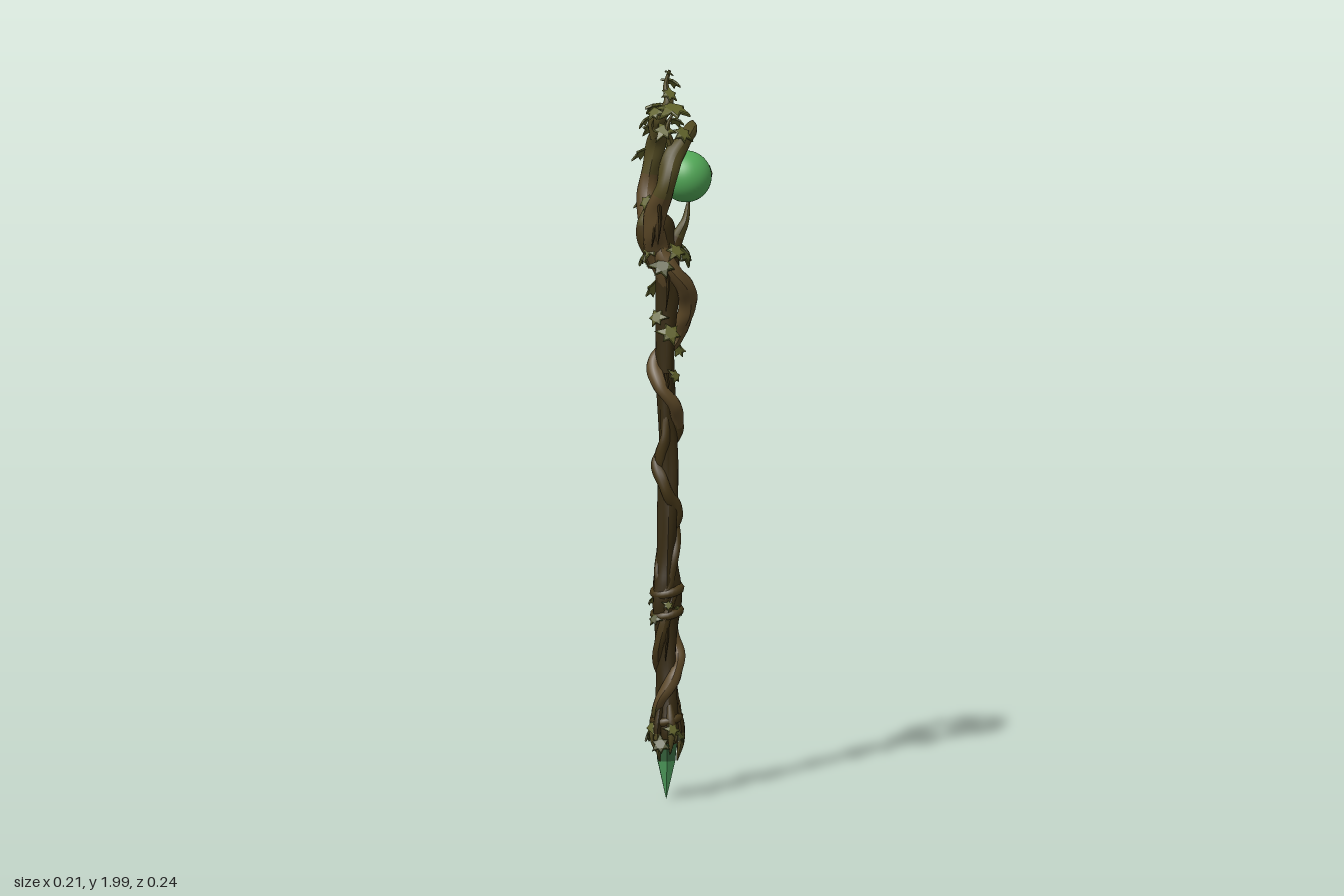
import * as THREE from 'three';

const mat = (name, color, extra = {}) => {
  const m = new THREE.MeshStandardMaterial({ color, ...extra });
  m.name = name;
  return m;
};

export function createModel() {
  const staff = new THREE.Group();
  staff.name = 'gnarledStaff';
  const bark = mat('bark', 0x5c4827);
  const midBark = mat('midBark', 0x463718);
  const darkBark = mat('darkBark', 0x372b12);
  const moss = mat('mossyBark', 0x524a22);
  const leafGreen = mat('leafGreen', 0x5f612a, { side: THREE.DoubleSide });
  const darkLeaf = mat('darkLeaf', 0x484c20, { side: THREE.DoubleSide });
  const orbGreen = mat('orbGreen', 0x52a857);
  const crystalGreen = mat('crystalGreen', 0x50a05e, { flatShading: true });
  const crystalDark = mat('crystalDark', 0x34603a, { flatShading: true });
  const AX = -0.015; // staff axis

  const add = (name, geo, material) => {
    const m = new THREE.Mesh(geo, material);
    m.name = name;
    staff.add(m);
    return m;
  };

  // Tapering branch: radii are spread evenly along the path, mossy beyond the given fraction
  const branch = (name, pts, radii, material, seg = 48, sides = 9, mossFrom = 1) => {
    const curve = new THREE.CatmullRomCurve3(pts.map(p => new THREE.Vector3(...p)));
    const geo = new THREE.TubeGeometry(curve, seg, 1, sides);
    const pos = geo.attributes.position, v = new THREE.Vector3();
    for (let i = 0; i <= seg; i++) {
      const c = curve.getPointAt(i / seg), f = (i / seg) * (radii.length - 1);
      const k = Math.min(Math.floor(f), radii.length - 2);
      const r = THREE.MathUtils.lerp(radii[k], radii[k + 1], f - k);
      for (let j = 0; j <= sides; j++) {
        const n = i * (sides + 1) + j;
        v.fromBufferAttribute(pos, n).sub(c);
        v.multiplyScalar(r * (1 + 0.1 * Math.sin(j * 4 * Math.PI / sides + i * 0.35))).add(c);
        pos.setXYZ(n, v.x, v.y, v.z);
      }
    }
    geo.computeVertexNormals();
    const plain = Math.round(seg * mossFrom) * sides * 6;
    geo.addGroup(0, plain, 0);
    geo.addGroup(plain, geo.index.count - plain, 1);
    return add(name, geo, [material, moss]);
  };

  // Core shaft: lathe with twisting grooves
  const profile = [[0.001, 0.14], [0.026, 0.15], [0.036, 0.19], [0.032, 0.25], [0.026, 0.36], [0.031, 0.47],
    [0.038, 0.53], [0.036, 0.59], [0.027, 0.68], [0.026, 0.9], [0.024, 1.1], [0.027, 1.3], [0.034, 1.45],
    [0.042, 1.53], [0.036, 1.58], [0.001, 1.61]];
  const smooth = new THREE.SplineCurve(profile.map(p => new THREE.Vector2(...p))).getPoints(110);
  const core = new THREE.LatheGeometry(smooth.map(p => new THREE.Vector2(Math.max(p.x, 0.001), p.y)), 20);
  const cp = core.attributes.position;
  for (let i = 0; i < cp.count; i++) {
    const x = cp.getX(i), y = cp.getY(i), z = cp.getZ(i), a = Math.atan2(z, x);
    const g = 1 + 0.11 * Math.sin(3 * a + 14 * y) + 0.05 * Math.sin(5 * a - 9 * y);
    const lean = -0.025 * THREE.MathUtils.smoothstep(y, 1.4, 1.58);
    cp.setXYZ(i, AX + lean + x * g + 0.004 * Math.sin(9 * y), y, z * g + 0.004 * Math.cos(9 * y));
  }
  core.computeVertexNormals();
  add('coreShaft', core, darkBark);

  // Vines spiralling round the shaft
  branch('upperVine', [[-0.05, 1.56, 0.02], [-0.02, 1.47, 0.045], [0.033, 1.4, 0.025], [0.038, 1.33, -0.015],
    [0.005, 1.25, -0.045], [-0.046, 1.19, -0.012], [-0.035, 1.13, 0.032], [0.003, 1.08, 0.032], [0.014, 1.02, -0.005]],
  [0.012, 0.025, 0.025, 0.024, 0.023, 0.021, 0.018, 0.016], bark, 100, 10);
  branch('middleVine', [[0.014, 1.03, 0], [0.012, 1.0, -0.012], [-0.01, 0.96, -0.026], [-0.041, 0.92, 0],
    [-0.02, 0.85, 0.024], [0.01, 0.78, 0], [-0.015, 0.7, -0.022], [-0.036, 0.62, 0.008], [-0.015, 0.55, 0.03]],
  [0.016, 0.016, 0.018, 0.017, 0.014], midBark, 90, 10);
  branch('middleVine', [[-0.03, 1.12, -0.015], [-0.02, 1.0, 0.02], [-0.035, 0.93, 0.01], [-0.018, 0.86, -0.022],
    [0.004, 0.75, -0.014], [0.002, 0.66, 0.014], [-0.025, 0.56, 0.03]], [0.005, 0.014, 0.016, 0.016, 0.014], midBark, 80);
  branch('lowerVine', [[-0.04, 0.58, -0.018], [-0.01, 0.52, -0.036], [0.004, 0.44, -0.036], [0.016, 0.38, -0.012],
    [0, 0.33, 0.024], [-0.035, 0.27, 0.018], [-0.038, 0.21, -0.01], [-0.008, 0.15, -0.026]],
  [0.012, 0.018, 0.019, 0.018, 0.016, 0.01], bark, 80, 9, 0.75);
  branch('lowerVine', [[0, 0.56, 0.024], [-0.025, 0.48, 0.03], [-0.04, 0.4, 0.008], [-0.025, 0.33, -0.022],
    [0.008, 0.26, -0.02], [0.012, 0.19, 0.012], [-0.01, 0.15, 0.025]], [0.01, 0.015, 0.015, 0.014, 0.009], midBark, 70, 9, 0.75);

  // Coiled knots
  for (const [y, r, t] of [[0.51, 0.035, 0.012], [0.57, 0.035, 0.013], [0.22, 0.033, 0.012], [1.49, 0.038, 0.012]]) {
    const knot = add('coiledKnot', new THREE.TorusGeometry(r, t, 8, 24), midBark);
    knot.position.set(y > 1.4 ? -0.027 : AX, y, 0);
    knot.rotation.set(Math.PI / 2 + 0.15, 0.2, 0);
  }

  // Head: two curling arms and shorter claws cradling the orb
  branch('leftCradleArm', [[-0.015, 1.4, 0.012], [-0.045, 1.51, 0.03], [-0.055, 1.59, 0.06], [-0.028, 1.68, 0.09],
    [-0.008, 1.76, 0.084], [0.025, 1.805, 0.055], [0.05, 1.835, 0.008], [0.058, 1.845, -0.045]],
  [0.02, 0.03, 0.032, 0.028, 0.028, 0.026, 0.022, 0.002], bark, 70, 12, 0.5);
  branch('rightCradleArm', [[-0.015, 1.4, -0.012], [-0.045, 1.51, -0.03], [-0.065, 1.59, -0.06], [-0.055, 1.69, -0.088],
    [-0.04, 1.775, -0.075], [-0.03, 1.83, -0.035], [-0.035, 1.86, 0.005], [-0.012, 1.905, 0.016],
    [-0.018, 1.95, 0.002], [-0.008, 1.992, 0.004]],
  [0.02, 0.03, 0.032, 0.027, 0.026, 0.026, 0.023, 0.018, 0.011, 0.004], bark, 80, 12, 0.48);
  branch('frontClaw', [[-0.02, 1.44, 0], [0.005, 1.52, 0.006], [0.034, 1.58, 0.004], [0.044, 1.635, -0.004]],
    [0.025, 0.02, 0.014, 0.003], midBark, 30, 9, 0.5);
  branch('backClaw', [[-0.04, 1.46, 0], [-0.07, 1.54, 0.004], [-0.07, 1.59, 0], [-0.05, 1.64, 0]],
    [0.028, 0.028, 0.024, 0.005], midBark, 30, 9, 0.6);
  branch('topTwig', [[-0.035, 1.84, -0.03], [-0.04, 1.87, -0.05], [-0.025, 1.885, -0.075]], [0.01, 0.006, 0.002], moss, 14, 6);
  branch('topTwig', [[-0.01, 1.8, 0.075], [-0.02, 1.85, 0.085], [0, 1.89, 0.065]], [0.012, 0.007, 0.002], moss, 14, 6);
  branch('topTwig', [[-0.045, 1.8, -0.05], [-0.055, 1.84, -0.04], [-0.045, 1.86, -0.02]], [0.014, 0.01, 0.002], moss, 14, 6);

  // Orb
  add('orb', new THREE.SphereGeometry(0.07, 40, 28), orbGreen).position.set(0.036, 1.7, 0);

  // Crystal foot: bright point below a darker collar, held by root claws
  for (const [name, top, bottom, y0, y1, material] of [['crystalPoint', 0.027, 0.0005, 0, 0.105, crystalGreen],
    ['crystalCollar', 0.034, 0.027, 0.105, 0.17, crystalDark]]) {
    add(name, new THREE.CylinderGeometry(top, bottom, y1 - y0, 6), material).position.set(AX - 0.002, (y0 + y1) / 2, 0);
  }
  for (let i = 0; i < 6; i++) {
    const a = i * Math.PI / 3 + 0.3, c = Math.cos(a), s = Math.sin(a), e = 0.02 * (i % 2);
    branch('rootClaw', [[0.026, 0.26], [0.038, 0.2], [0.038, 0.155], [0.028, 0.105 + e]]
      .map(([r, y]) => [AX + c * r, y, s * r]), [0.007, 0.013, 0.01, 0.002], i % 2 ? midBark : darkBark, 14, 7, 0.5);
  }

  // Hanging tendrils: x, top y, z, length
  for (const [x, y, z, len] of [[-0.045, 1.65, 0.1, 0.12], [-0.06, 1.6, 0.08, 0.08], [-0.06, 1.64, -0.1, 0.11],
    [-0.06, 1.6, -0.085, 0.07], [-0.02, 1.48, 0.056, 0.14], [-0.04, 1.49, -0.05, 0.14], [-0.015, 1.24, -0.045, 0.09],
    [-0.02, 1.17, 0.04, 0.07], [-0.02, 0.53, 0.033, 0.15], [-0.03, 0.53, -0.035, 0.1]]) {
    branch('tendril', [[x, y, z], [x + 0.004, y - len / 2, z * 1.03], [x - 0.002, y - len, z]],
      [0.007, 0.005, 0.001], darkBark, 12, 6);
  }

  // Ivy leaf: cupped, six-pointed star with one long lobe
  const star = new THREE.Shape();
  for (let i = 0; i < 12; i++) {
    const a = i * Math.PI / 6, r = i % 2 ? 0.52 : (i % 4 ? 0.88 : 1);
    star[i ? 'lineTo' : 'moveTo'](Math.cos(a) * r * (i ? 1 : 1.2), Math.sin(a) * r);
  }
  star.closePath();
  const leafGeo = new THREE.ExtrudeGeometry(star, { depth: 0.12, bevelEnabled: true, bevelThickness: 0.06,
    bevelSize: 0.07, bevelSegments: 1 });
  const lp = leafGeo.attributes.position;
  for (let i = 0; i < lp.count; i++) {
    lp.setZ(i, lp.getZ(i) - 0.25 * (lp.getX(i) ** 2 + lp.getY(i) ** 2));
  }
  leafGeo.computeVertexNormals();
  const leaf = (x, y, z, size, up, material, cx = AX - 0.01) => {
    const m = add('ivyLeaf', leafGeo, material);
    m.position.set(x, y, z);
    const d = new THREE.Vector3(x - cx, 0, z).normalize().setY(up).normalize();
    m.quaternion.setFromUnitVectors(new THREE.Vector3(0, 0, 1), d);
    m.rotateZ(x * 40 + z * 60);
    m.scale.setScalar(size);
  };

  // Crown and stem leaves: x, y, z, size, upward tilt
  for (const l of [[-0.002, 1.895, 0.065, 0.044, 3], [-0.035, 1.88, -0.075, 0.038, 2], [0, 1.955, -0.026, 0.028, 1.5],
    [-0.01, 1.93, 0.03, 0.024, 1], [-0.075, 1.75, -0.1, 0.027, 1], [-0.03, 1.84, 0.088, 0.03, 1],
    [0.022, 1.83, 0.082, 0.028, 0.9], [-0.05, 1.82, -0.09, 0.03, 0.8], [0.015, 1.84, -0.07, 0.024, 1.4],
    [-0.005, 1.78, -0.098, 0.024, 0.8], [-0.075, 1.62, -0.09, 0.025, 0.6], [-0.075, 1.64, 0.055, 0.024, 0.6],
    [-0.01, 1.985, 0.004, 0.013, 2], [-0.05, 1.88, 0.03, 0.026, 1.2], [-0.07, 1.85, -0.03, 0.026, 1],
    [-0.01, 1.28, 0.055, 0.032, 0.6], [-0.045, 1.32, 0.03, 0.026, 0.5],
    [-0.05, 1.39, -0.035, 0.028, 0.5], [0.02, 1.22, -0.05, 0.024, 0.4], [-0.015, 1.12, -0.04, 0.024, 0.8],
    [0.005, 1.16, 0.035, 0.02, 0.4]]) {
    leaf(...l, leafGreen);
  }
  // Small leaf resting on the orb
  leaf(0.102, 1.705, -0.03, 0.022, 0.1, darkLeaf, 0.035);

  // Leaf collars: y, radius, count, size, tilt
  for (const [y, r, n, size, up] of [[1.49, 0.06, 9, 0.034, 0.8], [0.52, 0.044, 6, 0.019, 0.6], [0.18, 0.047, 8, 0.026, 0.5]]) {
    for (let i = 0; i < n; i++) {
      const a = i * 2 * Math.PI / n + 0.4;
      leaf(AX - 0.005 + Math.cos(a) * r * 0.9, y + 0.024 * Math.sin(i * 2.4), Math.sin(a) * r * 1.2,
        size * (1 - 0.2 * (i % 2)), up, i % 2 ? leafGreen : darkLeaf);
    }
  }
  return staff;
}
